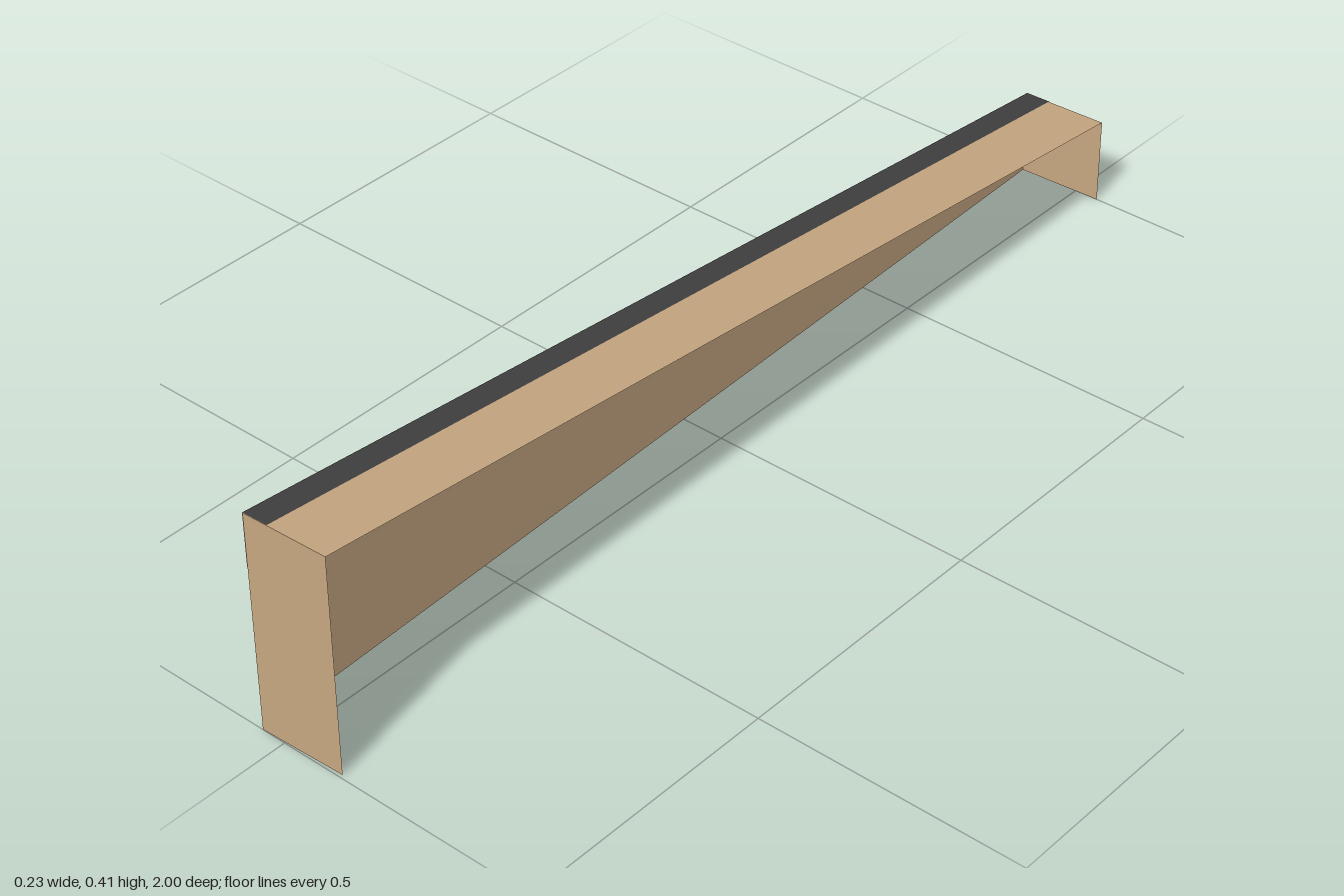
import * as THREE from 'three';

const flat = (name, color) => {
  const m = new THREE.MeshStandardMaterial({ color, side: THREE.DoubleSide });
  m.name = name;
  return m;
};

export function createModel() {
  const tan = flat('tan board', 0xc8a882);
  const grey = flat('light grey edging', 0xe2e2e2);
  const dark = flat('dark trim', 0x404040);

  const model = new THREE.Group();
  model.name = 'slopedRail';

  const X = 0.0815, Z = 0.9975;       // half width and half length
  const HF = 0.409, HB = 0.164;       // front and back heights
  const DF = 0.1, DB = 0.077;         // depth of the edging, front and back
  const STRIP = 0.048, GAP = 0.001;   // trim width and clearance

  // one flat four-cornered panel, corners counter-clockwise from outside
  const panel = (name, material, a, b, c, d) => {
    const g = new THREE.BufferGeometry();
    g.setAttribute('position', new THREE.Float32BufferAttribute([...a, ...b, ...c, ...d], 3));
    g.setIndex([0, 1, 2, 0, 2, 3]);
    g.computeVertexNormals();
    const mesh = new THREE.Mesh(g, material);
    mesh.name = name;
    model.add(mesh);
  };
  // panels facing +z, along the slope, and facing -x
  const upright = (name, m, x0, x1, y0, y1, z) =>
    panel(name, m, [x0, y0, z], [x1, y0, z], [x1, y1, z], [x0, y1, z]);
  const backUpright = (name, m, x0, x1, y0, y1, z) =>
    panel(name, m, [x1, y0, z], [x0, y0, z], [x0, y1, z], [x1, y1, z]);
  const slope = (name, m, x0, x1, lift) =>
    panel(name, m, [x0, HF + lift, Z], [x1, HF + lift, Z], [x1, HB + lift, -Z], [x0, HB + lift, -Z]);
  const side = (name, m, x, f0, f1, b0, b1) =>
    panel(name, m, [x, b0, -Z], [x, f0, Z], [x, f1, Z], [x, b1, -Z]);

  // board shell, open underneath and along one side
  upright('frontEnd', tan, -X, X, 0, HF, Z);
  backUpright('backEnd', tan, -X, X, 0, HB, -Z);
  slope('topBoard', tan, -X, X, 0);
  side('sideBoard', tan, -X, 0, HF, 0, HB);

  // trim along the upper edge
  slope('topTrim', dark, -X, -X + STRIP, GAP);
  side('sideEdging', grey, -X - GAP, HF - DF, HF, HB - DB, HB);

  // trim ends
  backUpright('backTrimEnd', dark, -X, -X + 0.036, HB - DB, HB, -Z - GAP);
  backUpright('backEdgingEnd', grey, -X + 0.036, -X + STRIP, HB - DB, HB, -Z - GAP);
  backUpright('frontEdgingEnd', grey, -X, -X + STRIP, HF - DF, HF, Z - GAP);

  // the rail runs slightly askew
  model.rotation.y = Math.asin(0.035);
  const root = new THREE.Group();
  root.name = 'rail';
  root.add(model);
  return root;
}
